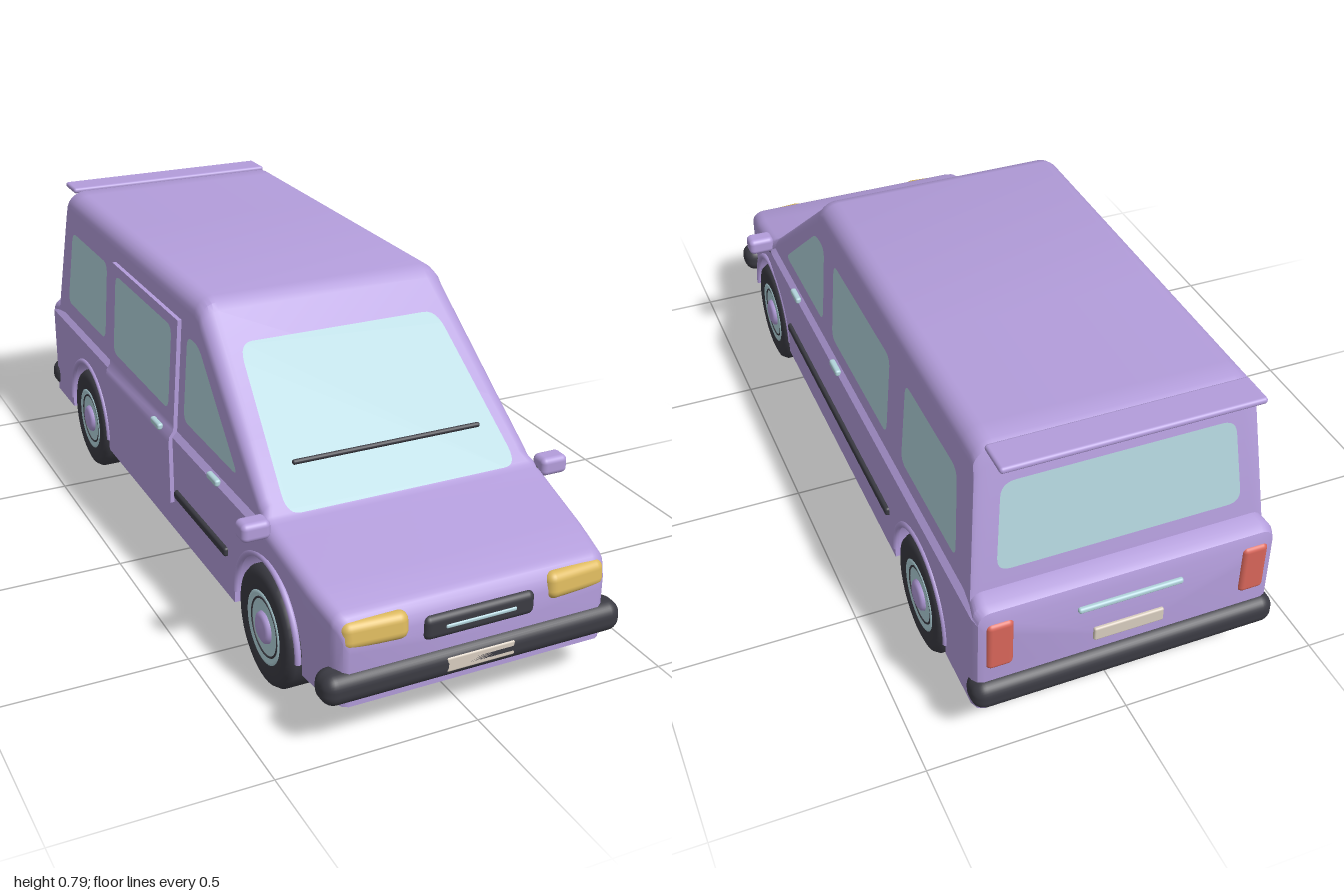
import * as THREE from 'three';
import { toCreasedNormals } from 'three/addons/utils/BufferGeometryUtils.js';
import { RoundedBoxGeometry } from 'three/addons/geometries/RoundedBoxGeometry.js';

const mat = (name, color) => Object.assign(new THREE.MeshStandardMaterial({ color }), { name });

// linear interpolation through [key, value] pairs with descending keys
function along(table, k) {
  if (k >= table[0][0]) return table[0][1];
  for (let i = 1; i < table.length; i++) {
    const [k0, v0] = table[i - 1], [k1, v1] = table[i];
    if (k >= k1) return v0 + (v1 - v0) * (k0 - k) / (k0 - k1);
  }
  return table[table.length - 1][1];
}

// roof line and plan half-width along z
const TOP = [[0.982, 0.28], [0.975, 0.305], [0.96, 0.325], [0.94, 0.335], [0.7, 0.395], [0.645, 0.41], [0.215, 0.758],
  [0.2, 0.775], [0.17, 0.784], [-0.845, 0.784], [-0.862, 0.775], [-0.872, 0.74], [-0.917, 0.425], [-0.95, 0.418], [-0.968, 0.408], [-0.975, 0.385]];
const WIDE = [[0.982, 0.318], [0.975, 0.33], [0.95, 0.343], [0.85, 0.356], [0.6, 0.372], [-0.95, 0.372], [-0.968, 0.364], [-0.975, 0.35]];
const ARCH = 0.172, WHEEL_R = 0.147, AXLES = [0.66, -0.62];

// body half-width at a height: upright below the belt, leaning in above it
const halfWidth = (y, z = 0) => along(WIDE, z) / 0.372 *
  (y < 0.385 ? 0.372 : y < 0.4 ? 0.372 - (y - 0.385) * 0.9 : 0.3585 - (y - 0.4) * 0.072);

function bottomAt(z) {
  for (const c of AXLES) {
    const d = Math.abs(z - c);
    if (d < ARCH) return 0.15 + Math.sqrt(ARCH * ARCH - d * d);
  }
  return 0.118;
}

// body shell: cross-sections lofted from nose to tail, with wheel arches cut into the lower edge
function bodyGeometry() {
  const zs = [...TOP, ...WIDE].map(p => p[0]);
  for (const c of AXLES) {
    for (let i = 0; i <= 24; i++) zs.push(c + (ARCH - 0.0001) * Math.cos(Math.PI * i / 24));
    zs.push(c - ARCH - 0.0002, c + ARCH + 0.0002);
  }
  const stations = [...new Set(zs)].sort((a, b) => b - a);
  const rings = stations.map(z => {
    const top = along(TOP, z), yb = bottomAt(z), half = [];
    const r = 0.03 + 0.018 * THREE.MathUtils.clamp((top - 0.45) / 0.25, 0, 1), yr = top - r;
    for (const y of [yb, (yb + Math.min(0.385, yr)) / 2, Math.min(0.385, yr), Math.min(0.4, yr), yr])
      half.push([halfWidth(y, z), y]);
    const w = halfWidth(yr, z) - r;
    for (let i = 1; i <= 6; i++) {
      const a = Math.PI / 2 * i / 6;
      half.push([w + r * Math.cos(a), yr + r * Math.sin(a)]);
    }
    return [...half, ...half.slice().reverse().map(([x, y]) => [-x, y])].map(([x, y]) => [x, y, z]);
  });
  const cap = ring => ring.map(p => [0, 0.22, p[2]]);
  rings.unshift(cap(rings[0]));
  rings.push(cap(rings[rings.length - 1]));
  const n = rings[0].length, index = [];
  for (let i = 0; i < rings.length - 1; i++)
    for (let j = 0; j < n; j++) {
      const k = (j + 1) % n, a = i * n + j, b = a + n, c = (i + 1) * n + k, d = i * n + k;
      index.push(a, b, c, a, c, d);
    }
  const g = new THREE.BufferGeometry();
  g.setAttribute('position', new THREE.Float32BufferAttribute(rings.flat(2), 3));
  g.setIndex(index);
  // enlarged while creasing so close vertices stay distinct
  return toCreasedNormals(g.scale(100, 100, 100), 0.6).scale(0.01, 0.01, 0.01);
}

// flat polygon with rounded corners, each vertex placed by a rule
function panel(points, radius, place) {
  const s = new THREE.Shape(), v = points.map(p => new THREE.Vector2(...p));
  v.forEach((p, i) => {
    const toward = q => p.clone().add(q.clone().sub(p).setLength(radius));
    const a = toward(v[(i + v.length - 1) % v.length]), b = toward(v[(i + 1) % v.length]);
    if (i) s.lineTo(a.x, a.y); else s.moveTo(a.x, a.y);
    s.quadraticCurveTo(p.x, p.y, b.x, b.y);
  });
  s.closePath();
  const g = new THREE.ShapeGeometry(s, 6), pos = g.attributes.position;
  for (let i = 0; i < pos.count; i++) pos.setXYZ(i, ...place(pos.getX(i), pos.getY(i)));
  g.computeVertexNormals();
  return g;
}

export function createModel() {
  const paint = mat('lilac paint', 0xb39ddb), glass = mat('pale blue glass', 0xb2d4dc), dark = mat('dark rubber', 0x3b3b43),
    black = mat('black underside', 0x222226), amber = mat('amber lamp', 0xdcb95e), red = mat('red lamp', 0xd8665a),
    plate = mat('beige plate', 0xd8cdbf);
  const model = new THREE.Group();
  const add = (name, geo, material, x = 0, y = 0, z = 0, parent = model) => {
    const m = new THREE.Mesh(geo, material);
    m.name = name;
    m.position.set(x, y, z);
    parent.add(m);
    return m;
  };
  const box = (w, h, d, r) => new RoundedBoxGeometry(w, h, d, 4, r);

  add('body', bodyGeometry(), paint);
  add('underTray', new THREE.BoxGeometry(0.51, 0.23, 1.64), black, 0, 0.21, 0.02);
  add('floor', new THREE.BoxGeometry(0.64, 0.006, 0.93), black, 0, 0.116, 0.02);

  // windscreen, wiper and rear window
  const screenZ = y => 0.645 - (y - 0.41) * (0.43 / 0.348);
  add('windscreen', panel([[-0.306, 0.415], [0.306, 0.415], [0.27, 0.7], [-0.27, 0.7]], 0.035, (u, v) => [u, v, screenZ(v) + 0.006]), glass);
  const wiper = add('wiper', box(0.5, 0.012, 0.012, 0.005), dark, 0, 0.495, screenZ(0.495) + 0.012);
  wiper.rotation.x = -0.9;
  add('rearWindow', panel([[-0.3, 0.47], [0.3, 0.47], [0.28, 0.69], [-0.28, 0.69]], 0.035,
    (u, v) => [-u, v, -0.917 + (v - 0.425) * (0.045 / 0.315) - 0.005]), glass);

  // side glass, outlined in z and y
  const sideWindows = {
    frontWindow: [[0.485, 0.452], [0.14, 0.452], [0.14, 0.676], [0.215, 0.676]],
    middleWindow: [[0.06, 0.452], [-0.37, 0.452], [-0.37, 0.676], [0.06, 0.676]],
    rearSideWindow: [[-0.475, 0.452], [-0.825, 0.452], [-0.795, 0.676], [-0.475, 0.676]],
  };
  for (const side of [1, -1]) {
    const tag = side > 0 ? 'left' : 'right';
    for (const [name, pts] of Object.entries(sideWindows)) {
      const out = side < 0 && name === 'middleWindow' ? 0.015 : 0.004;
      add(`${tag} ${name}`, panel(pts.map(([z, y]) => [-side * z, y]), 0.03,
        (u, v) => [side * (halfWidth(v) + out), v, -side * u]), glass);
    }
    // rub strip, shorter beside the sliding door
    const [z0, z1] = side > 0 ? [-0.41, 0.45] : [0.11, 0.45];
    add(`${tag} rubStrip`, box(0.016, 0.024, z1 - z0, 0.007), dark, side * 0.374, 0.235, (z0 + z1) / 2);
    for (const z of [0.365, 0.005])
      add(`${tag} doorHandle`, box(0.016, 0.018, 0.06, 0.006), glass, side * (side < 0 && z < 0.1 ? 0.383 : 0.371), 0.393, z);
    // mirror on a short stalk
    add(`${tag} mirror`, box(0.072, 0.047, 0.052, 0.014), paint, side * 0.394, 0.406, 0.652);
    add(`${tag} mirrorStalk`, box(0.05, 0.03, 0.03, 0.01), dark, side * 0.348, 0.388, 0.645);
    // lamps
    const lamp = add(`${tag} headlight`, box(0.158, 0.066, 0.05, 0.022), amber, side * 0.253, 0.286, 0.962);
    lamp.rotation.set(-0.12, side * 0.08, 0);
    add(`${tag} tailLight`, box(0.065, 0.135, 0.03, 0.013), red, side * 0.315, 0.312, -0.968);
  }

  // raised sliding door on the right side, following the body wall
  const door = new THREE.BoxGeometry(0.022, 0.5, 0.5, 1, 32, 1), dp = door.attributes.position;
  for (let i = 0; i < dp.count; i++) {
    const y = dp.getY(i) + 0.45;
    dp.setXYZ(i, dp.getX(i) - halfWidth(y), y, dp.getZ(i) - 0.16);
  }
  door.computeVertexNormals();
  add('slidingDoor', door, paint);

  // front and rear trim
  for (const [tag, s] of [['front', 1], ['rear', -1]]) {
    add(`${tag} bumper`, box(0.762, 0.076, 0.08, 0.032), dark, 0, 0.167, s * 0.96);
    add(`${tag} plate`, box(0.175, 0.037, 0.012, 0.005), plate, 0, s > 0 ? 0.168 : 0.255, s > 0 ? 0.994 : -0.977);
  }
  add('grille', box(0.282, 0.06, 0.036, 0.017), dark, 0, 0.264, 0.974);
  add('grilleBar', box(0.18, 0.01, 0.01, 0.004), glass, 0, 0.264, 0.99);
  add('tailgateHandle', box(0.26, 0.015, 0.014, 0.006), glass, 0, 0.345, -0.978);
  add('spoiler', box(0.62, 0.016, 0.088, 0.0075), paint, 0, 0.781, -0.906);

  // wheels, turned about the x axis
  const turn = pts => new THREE.LatheGeometry(pts.map(p => new THREE.Vector2(...p)), 40).rotateZ(-Math.PI / 2);
  const tyre = turn([[0, -0.048], [0.12, -0.048], [0.138, -0.044], [WHEEL_R, -0.03], [WHEEL_R, 0.03], [0.139, 0.043],
    [0.125, 0.048], [0.09, 0.046], [0.085, 0.038], [0, 0.038]]);
  const rim = turn([[0.091, 0.036], [0.09, 0.046], [0.082, 0.048], [0.074, 0.043], [0, 0.043]]);
  const hub = turn([[0.04, 0.042], [0.037, 0.05], [0.028, 0.055], [0, 0.057]]);
  const ring = new THREE.TorusGeometry(0.071, 0.003, 6, 40).rotateY(Math.PI / 2);
  for (const side of [1, -1])
    for (const z of AXLES) {
      const wheel = new THREE.Group();
      wheel.name = `${side > 0 ? 'left' : 'right'} ${z > 0 ? 'front' : 'rear'} wheel`;
      wheel.position.set(side * 0.328, WHEEL_R, z);
      if (side < 0) wheel.rotation.y = Math.PI;
      add('tyre', tyre, dark, 0, 0, 0, wheel);
      add('rim', rim, glass, 0, 0, 0, wheel);
      add('rimGroove', ring, dark, 0.0425, 0, 0, wheel);
      add('hubCap', hub, paint, 0, 0, 0, wheel);
      model.add(wheel);
      add('archLip', new THREE.TorusGeometry(ARCH, 0.008, 8, 32, Math.PI).rotateY(Math.PI / 2), paint,
        side * (z > 0 ? 0.367 : 0.371), 0.15, z);
    }
  return model;
}
